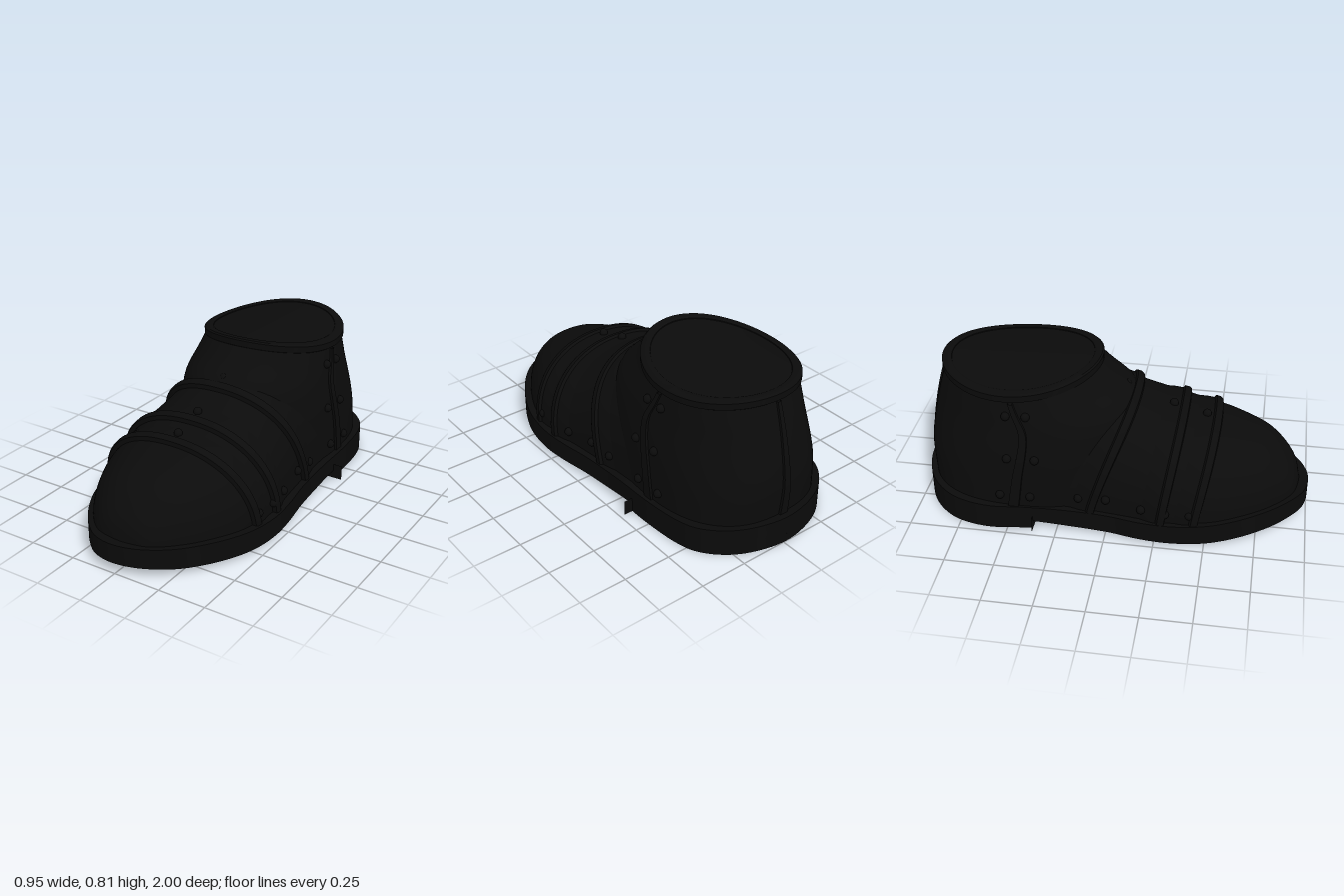
import * as THREE from 'three';
import { toCreasedNormals } from 'three/addons/utils/BufferGeometryUtils.js';

const leather = new THREE.MeshStandardMaterial({ color: 0x0b0b0b, side: THREE.DoubleSide });
leather.name = 'black leather';

const V = (x, y, z) => new THREE.Vector3(x, y, z);
const range = (n, f) => Array.from({ length: n }, (_, i) => f(i));
const spow = (v, e) => Math.sign(v) * Math.pow(Math.abs(v), e);

// Smooth curve through [position, value] pairs in rising order
function spline(pts) {
  const slope = (i) => {
    const a = pts[Math.max(i - 1, 0)], b = pts[Math.min(i + 1, pts.length - 1)];
    return (b[1] - a[1]) / (b[0] - a[0]);
  };
  return (x) => {
    x = Math.min(Math.max(x, pts[0][0]), pts[pts.length - 1][0]);
    let i = 0;
    while (i < pts.length - 2 && x > pts[i + 1][0]) i++;
    const d = pts[i + 1][0] - pts[i][0], t = (x - pts[i][0]) / d;
    const t2 = t * t, t3 = t2 * t;
    return pts[i][1] * (2 * t3 - 3 * t2 + 1) + pts[i + 1][1] * (3 * t2 - 2 * t3)
      + d * (slope(i) * (t3 - 2 * t2 + t) + slope(i + 1) * (t3 - t2));
  };
}

// Skin over rows of points; wrap joins each row end to its start
function loft(rows, wrap) {
  const n = rows[0].length, idx = [];
  for (let r = 0; r < rows.length - 1; r++) {
    for (let i = 0; i < (wrap ? n : n - 1); i++) {
      const a = r * n + i, b = r * n + (i + 1) % n;
      idx.push(a, b, a + n, b, b + n, a + n);
    }
  }
  const g = new THREE.BufferGeometry().setFromPoints(rows.flat());
  g.setIndex(idx);
  return toCreasedNormals(g, 0.7);
}

// Sole outline, one side then the other
const leftEdge = [[0.1, 0.975], [0.22, 0.9], [0.31, 0.8], [0.4, 0.65], [0.455, 0.5], [0.475, 0.33], [0.465, 0.18],
  [0.44, 0], [0.427, -0.25], [0.425, -0.5], [0.405, -0.7], [0.37, -0.8], [0.28, -0.9], [0.16, -0.965]];
const rightEdge = [[-0.2, -0.965], [-0.32, -0.9], [-0.41, -0.8], [-0.45, -0.7], [-0.465, -0.58], [-0.445, -0.4],
  [-0.435, -0.2], [-0.44, 0], [-0.468, 0.18], [-0.475, 0.33], [-0.455, 0.5], [-0.4, 0.65], [-0.31, 0.8], [-0.225, 0.9], [-0.13, 0.975]];
const outline = new THREE.CatmullRomCurve3(
  [[-0.02, 1], ...leftEdge, [-0.02, -1], ...rightEdge].map(([x, z]) => V(x, 0, z)), true).getPoints(160).slice(0, -1);
const soleTop = spline([[-1, 0.145], [-0.37, 0.13], [0.3, 0.12], [0.8, 0.143], [1, 0.155]]);
const soleBottom = spline([[-0.37, 0.045], [-0.2, 0.03], [0, 0.02], [0.4, 0.016], [0.8, 0.034], [1, 0.055]]);

// Slab between two height rules, closed to its centre line
function slab(ring, bottom, top) {
  const row = (s, y) => ring.map((p) => V(-0.02 + (p.x + 0.02) * s, y(p.z), p.z));
  return loft([row(0, bottom), row(0.5, bottom), row(1, bottom), row(1, top), row(0.5, top), row(0, top)], true);
}

// Forefoot surface: arches along z
const footWidth = spline([[-0.35, 0.39], [-0.1, 0.402], [0.1, 0.42], [0.3, 0.442], [0.5, 0.42], [0.6, 0.388],
  [0.75, 0.31], [0.83, 0.25], [0.9, 0.18], [0.935, 0.12], [0.955, 0.03]]);
const footTop = spline([[-0.35, 0.72], [-0.1, 0.69], [0.1, 0.605], [0.3, 0.53], [0.5, 0.475], [0.6, 0.452],
  [0.75, 0.408], [0.83, 0.36], [0.9, 0.285], [0.935, 0.22], [0.955, 0.14]]);
function foot(z, a, off = 0) {
  return V(-0.005 + (footWidth(z) + off) * spow(Math.cos(a), 0.9),
    0.11 + (footTop(z) + off - 0.11) * spow(Math.max(Math.sin(a), 0), 0.9), z);
}

// Ankle surface: rings by height
const ankleFront = spline([[0.12, 0.02], [0.3, 0.08], [0.5, 0.12], [0.6, 0.1], [0.69, 0], [0.78, -0.09]]);
const ankleBack = spline([[0.12, -0.955], [0.3, -0.968], [0.4, -0.96], [0.6, -0.92], [0.78, -0.868]]);
const ankleWidth = spline([[0.12, 0.415], [0.3, 0.412], [0.45, 0.403], [0.6, 0.382], [0.78, 0.345]]);
const rimY = (x, z) => 0.795 + 0.045 * (z + 0.48) - 0.36 * (x + 0.02) ** 2;
function ankle(a, h, off = 0) {
  const f = ankleFront(h), b = ankleBack(h), e = 2 / (2.5 - 0.5 * (h - 0.12) / 0.66);
  const x = -0.02 + (ankleWidth(h) + off) * spow(Math.cos(a), e);
  const z = (f + b) / 2 + ((f - b) / 2 + off) * spow(Math.sin(a), e);
  return V(x, 0.12 + (h - 0.12) / 0.66 * (rimY(x, z) - 0.14), z);
}

export function createModel() {
  const shoe = new THREE.Group();
  shoe.name = 'shoe';
  const add = (name, geo) => {
    const m = new THREE.Mesh(geo, leather);
    m.name = name;
    shoe.add(m);
    return m;
  };
  const rivetGeo = new THREE.SphereGeometry(0.022, 14, 10);
  const rivet = (p) => add('rivet', rivetGeo).position.copy(p);

  // Sole and heel block
  add('sole', slab(outline, soleBottom, soleTop));
  add('heel', slab(outline.map((p) => V(p.x, 0, Math.min(p.z, -0.37))), () => 0, () => 0.08));

  // Upper
  add('forefoot', loft(range(61, (i) => {
    const z = -0.35 + 1.305 * Math.sin(i / 60 * Math.PI / 2);
    return range(49, (j) => foot(z, j / 48 * Math.PI));
  }), false));
  const ring = (h) => range(80, (j) => ankle(j / 40 * Math.PI, h));
  add('ankle', loft(range(25, (i) => ring(0.12 + 0.66 * i / 24)), true));

  // Collar band and the closed top inside it
  const collarRow = (out, dy) => range(80, (j) => {
    const a = j / 40 * Math.PI;
    const x = -0.02 + (0.335 + out) * Math.cos(a), z = -0.48 + (0.385 + out) * Math.sin(a);
    return V(x, rimY(x, z) + dy, z);
  });
  add('collar', loft([[-0.01, -0.045], [0.018, -0.045], [0.026, -0.038], [0.026, -0.006], [0.018, 0.001],
    [-0.012, 0.001], [-0.022, -0.005], [-0.026, -0.02]].map(([o, d]) => collarRow(o, d)), true));
  add('innerTop', loft([1, 0.66, 0.33, 0].map((s) => collarRow(-0.01, 0).map((p) => {
    const x = -0.02 + (p.x + 0.02) * s;
    return V(x, rimY(x, p.z) - 0.009, p.z);
  })), true));

  // Overlapping front plates with a raised leading edge and a top rivet
  const edge = [[0.024, -0.01], [0.022, 0.022], [0.012, 0.028], [-0.012, 0.027], [-0.022, 0.013], [-0.06, 0.009], [-0.13, -0.006]];
  for (const [zTop, lean] of [[0.515, 0.075], [0.345, 0.07], [0.105, 0.19]]) {
    add('frontPlate', loft(edge.map(([dz, off]) => range(49, (j) => {
      const a = j / 48 * Math.PI;
      return foot(zTop + dz - lean * (1 - Math.sin(a)), a, off);
    })), false));
    rivet(foot(zTop - 0.055, Math.PI / 2, 0.015));
  }

  // Rivets along the lower sides
  for (const [z, a] of [[0.42, 0.13], [0.3, 0.12], [0.18, 0.12], [0, 0.14], [-0.14, 0.11]]) {
    rivet(foot(z, a, 0.004));
    rivet(foot(z, Math.PI - a, 0.004));
  }

  // Seam strips on both sides and at the back
  for (const a of [0, Math.PI, -Math.PI / 2]) {
    add('seamStrip', loft(range(20, (i) => {
      const h = 0.13 + 0.62 * i / 19;
      return [[-0.03, -0.01], [-0.026, 0.012], [0.026, 0.012], [0.03, -0.01]].map(([d, off]) => ankle(a + d, h, off));
    }), false));
  }

  // Rivets beside the side seams
  for (const a of [0, Math.PI]) {
    for (const h of [0.2, 0.44, 0.68]) {
      for (const d of [-0.1, 0.1]) rivet(ankle(a + d, h, 0.003));
    }
  }
  return shoe;
}
